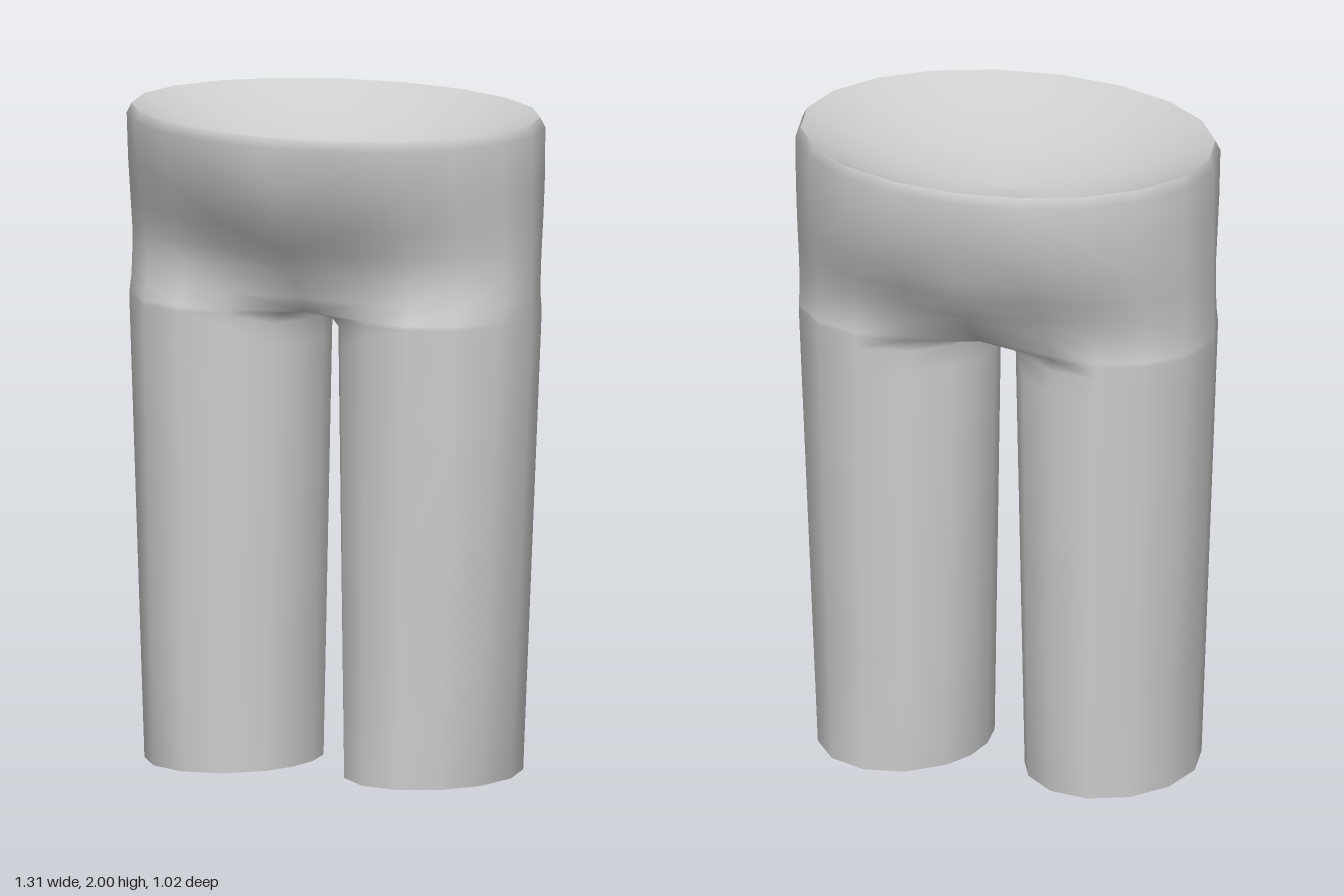
import * as THREE from 'three';
import { mergeVertices } from 'three/addons/utils/BufferGeometryUtils.js';

const OUTER = 10; // segments round the outside of a leg, which run on up into the hips
const INNER = 4;  // segments on the inside of a leg, which end at the crotch
const RING = OUTER + INNER;
const SPLIT = THREE.MathUtils.degToRad(140);
const lerp = THREE.MathUtils.lerp;

// Oval section of the left leg at height y
function legPoint(i, y) {
  const t = Math.min(y / 1.4, 1);
  const a = i <= OUTER
    ? lerp(-SPLIT, SPLIT, i / OUTER)
    : lerp(SPLIT, 2 * Math.PI - SPLIT, (i - OUTER) / INNER);
  const x = lerp(0.33, 0.347, t) + lerp(0.26, 0.307, t) * Math.cos(a);
  const z = lerp(0.015, 0.003, t) + lerp(0.322, 0.309, t) * Math.sin(a);
  return [x, y, z];
}

// Hip sections: height, blend from legs to ellipse, half width, front depth, back depth
const hips = [
  [1.42, 0, 0.655, 0.22, 0.25],
  [1.47, 0.25, 0.655, 0.255, 0.315],
  [1.55, 0.5, 0.655, 0.305, 0.395],
  [1.62, 0.7, 0.655, 0.35, 0.44],
  [1.7, 0.85, 0.655, 0.41, 0.475],
  [1.83, 1, 0.655, 0.475, 0.505],
  [1.97, 1, 0.655, 0.508, 0.512],
  [2.0, 1, 0.64, 0.495, 0.495],
];

function hipPoint(i, [y, blend, rx, front, back]) {
  const a = lerp(-Math.PI / 2, Math.PI / 2, i / OUTER);
  const s = Math.sin(a);
  const ez = s * (s > 0 ? front : back);
  if (i === 0 || i === OUTER) return [0, y, ez]; // centre seam
  const leg = legPoint(i, y);
  return [lerp(leg[0], rx * Math.cos(a), blend), y, lerp(leg[2], ez, blend)];
}

// Both legs and the hips as one smooth skin
function trousersGeometry() {
  const rows = [0, 0.35, 0.7, 1.05, 1.3, 1.37].map((y) =>
    Array.from({ length: RING }, (_, i) => legPoint(i, y)));
  // Slightly pinched row that rounds the arch between the legs
  rows.push(rows[5].map((p, i) => {
    const q = legPoint(i, 1.405);
    if (i >= OUTER || i === 0) q[0] *= 0.72;
    return q;
  }));
  hips.forEach((h, k) => {
    const row = [];
    for (let i = 0; i <= OUTER; i++) row.push(hipPoint(i, h));
    // The inside of the leg closes on the centre line
    if (k === 0) {
      for (let i = OUTER + 1; i < RING; i++) {
        row.push([0, h[0], lerp(h[3], -h[4], (i - OUTER) / INNER)]);
      }
    }
    rows.push(row);
  });

  const pos = [];
  const triangle = (a, b, c) => {
    pos.push(...a, ...b, ...c);
    for (const p of [a, c, b]) pos.push(-p[0], p[1], p[2]); // mirrored half
  };
  for (let j = 0; j + 1 < rows.length; j++) {
    const low = rows[j];
    const high = rows[j + 1];
    const count = high.length === RING ? RING : OUTER;
    for (let i = 0; i < count; i++) {
      const n = (i + 1) % RING;
      triangle(low[i], high[i], low[n]);
      triangle(low[n], high[i], high[n]);
    }
  }
  const geometry = new THREE.BufferGeometry();
  geometry.setAttribute('position', new THREE.Float32BufferAttribute(pos, 3));
  const merged = mergeVertices(geometry, 1e-4);
  merged.computeVertexNormals();
  return merged;
}

// Shallow bowl that closes the waist
function waistGeometry() {
  const profile = [1, 0.9, 0.75, 0.55, 0.3, 0].map((r) =>
    new THREE.Vector2(r, 0.18 * (r * r - 1)));
  const geometry = new THREE.LatheGeometry(profile, 2 * OUTER);
  geometry.scale(0.64, 1, 0.495);
  geometry.translate(0, 2, 0);
  return geometry;
}

export function createModel() {
  const grey = new THREE.MeshStandardMaterial({ color: 0xcccccc, side: THREE.DoubleSide });
  grey.name = 'light grey';
  const group = new THREE.Group();
  group.name = 'trousers';

  const legs = new THREE.Mesh(trousersGeometry(), grey);
  legs.name = 'legsAndHips';
  const waist = new THREE.Mesh(waistGeometry(), grey);
  waist.name = 'waistBowl';
  group.add(legs, waist);
  return group;
}
